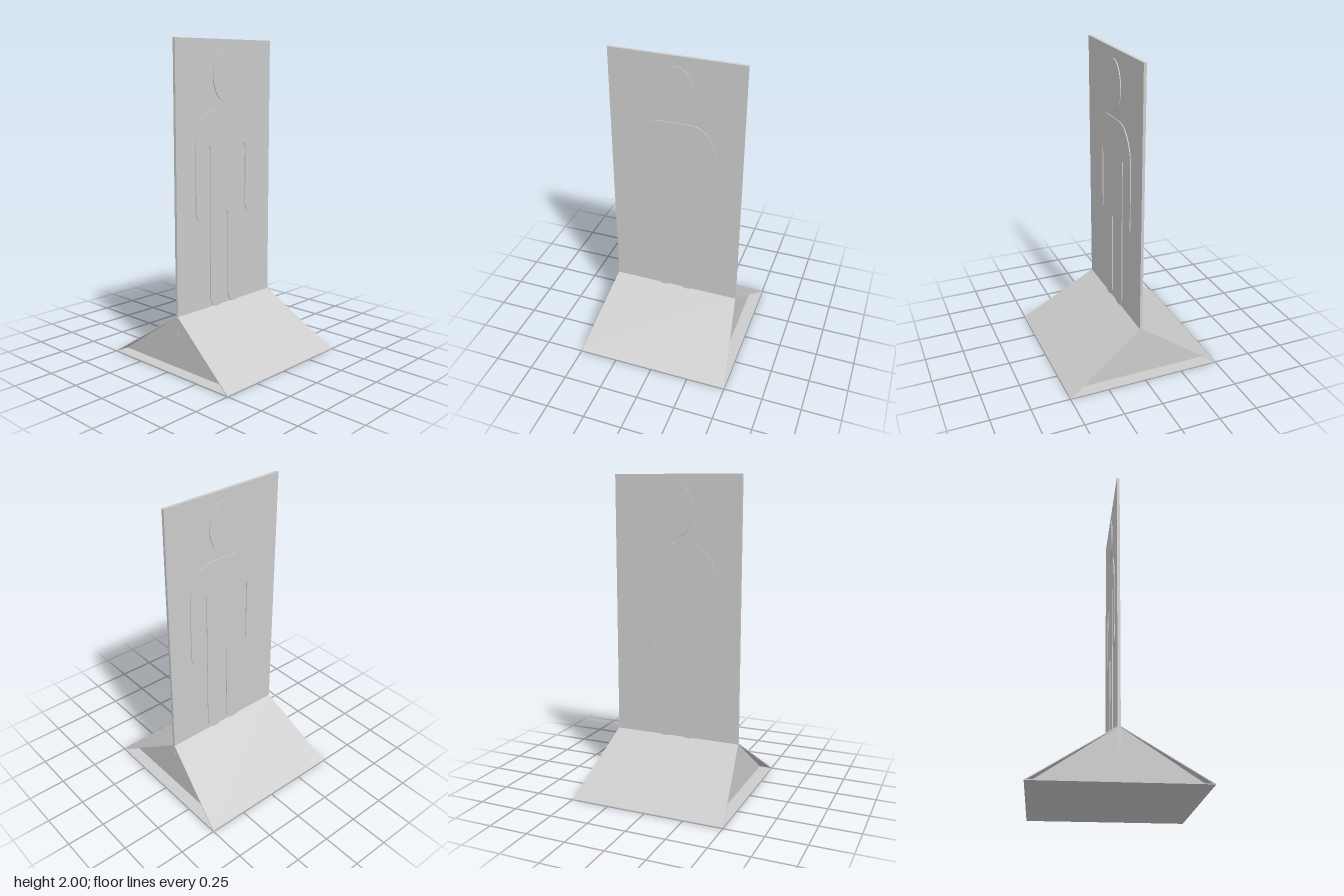
import * as THREE from 'three';

export function createModel() {
  const group = new THREE.Group();
  const grey = new THREE.MeshStandardMaterial({ color: 0xcccccc });
  grey.name = 'lightGrey';

  const add = (name, geometry, x = 0, y = 0, z = 0, parent = group) => {
    const mesh = new THREE.Mesh(geometry, grey);
    mesh.name = name;
    mesh.position.set(x, y, z);
    parent.add(mesh);
    return mesh;
  };
  const extrude = (shape, depth) =>
    new THREE.ExtrudeGeometry(shape, { depth, bevelEnabled: false, curveSegments: 16 });
  const polygon = (...pts) => new THREE.Shape(pts.map(([x, y]) => new THREE.Vector2(x, y)));

  // Upright sign panel, reaching down into the base
  add('panel', new THREE.BoxGeometry(0.84, 1.8, 0.018), 0, 1.1, 0);

  // Raised figure showing on both faces of the panel
  const figure = new THREE.Group();
  figure.name = 'figure';
  group.add(figure);
  const relief = 0.029;

  const head = new THREE.Shape();
  head.absellipse(0, 1.78, 0.11, 0.16, 0, Math.PI * 2, false);
  add('head', extrude(head, relief), 0, 0, -relief / 2, figure);

  const P = Math.PI;
  const body = new THREE.Shape();
  body.moveTo(-0.095, 1.58);
  body.absellipse(-0.095, 1.34, 0.168, 0.24, P / 2, P, false);     // right shoulder
  body.absellipse(-0.222, 0.96, 0.041, 0.06, P, P * 2, false);     // right hand
  body.absellipse(-0.16, 1.33, 0.021, 0.03, P, 0, true);           // right armpit
  body.absellipse(-0.08, 0.405, 0.06, 0.08, P, P * 2, false);      // right foot
  body.absellipse(0, 0.905, 0.02, 0.03, P, 0, true);               // crotch
  body.absellipse(0.08, 0.405, 0.06, 0.08, P, P * 2, false);       // left foot
  body.absellipse(0.16, 1.33, 0.021, 0.03, P, 0, true);            // left armpit
  body.absellipse(0.222, 0.96, 0.041, 0.06, P, P * 2, false);      // left hand
  body.absellipse(0.095, 1.34, 0.168, 0.24, 0, P / 2, false);      // left shoulder
  body.closePath();
  add('body', extrude(body, relief), 0, 0, -relief / 2, figure);

  // Base: floor sheet, two flared slopes and two inset triangular walls
  const t = 0.005;
  add('floor', new THREE.BoxGeometry(1, t, 1), 0, t / 2, 0);

  const rise = 0.334, run = 0.498;
  const length = Math.hypot(rise, run);
  const slope = extrude(polygon([-0.5, 0], [0.5, 0], [0.42, length], [-0.42, length]), t);
  slope.translate(0, 0, -t);
  slope.rotateX(-Math.atan2(run, rise));
  slope.translate(0, 0.0042, run);
  add('frontSlope', slope);
  add('backSlope', slope.clone().rotateY(Math.PI));

  const wall = extrude(polygon([-0.494, 0.003], [0.494, 0.003], [0, 0.335]), t);
  wall.rotateY(Math.PI / 2);
  add('leftWall', wall, 0.419 - t, 0, 0);
  add('rightWall', wall, -0.419, 0, 0);

  return group;
}
